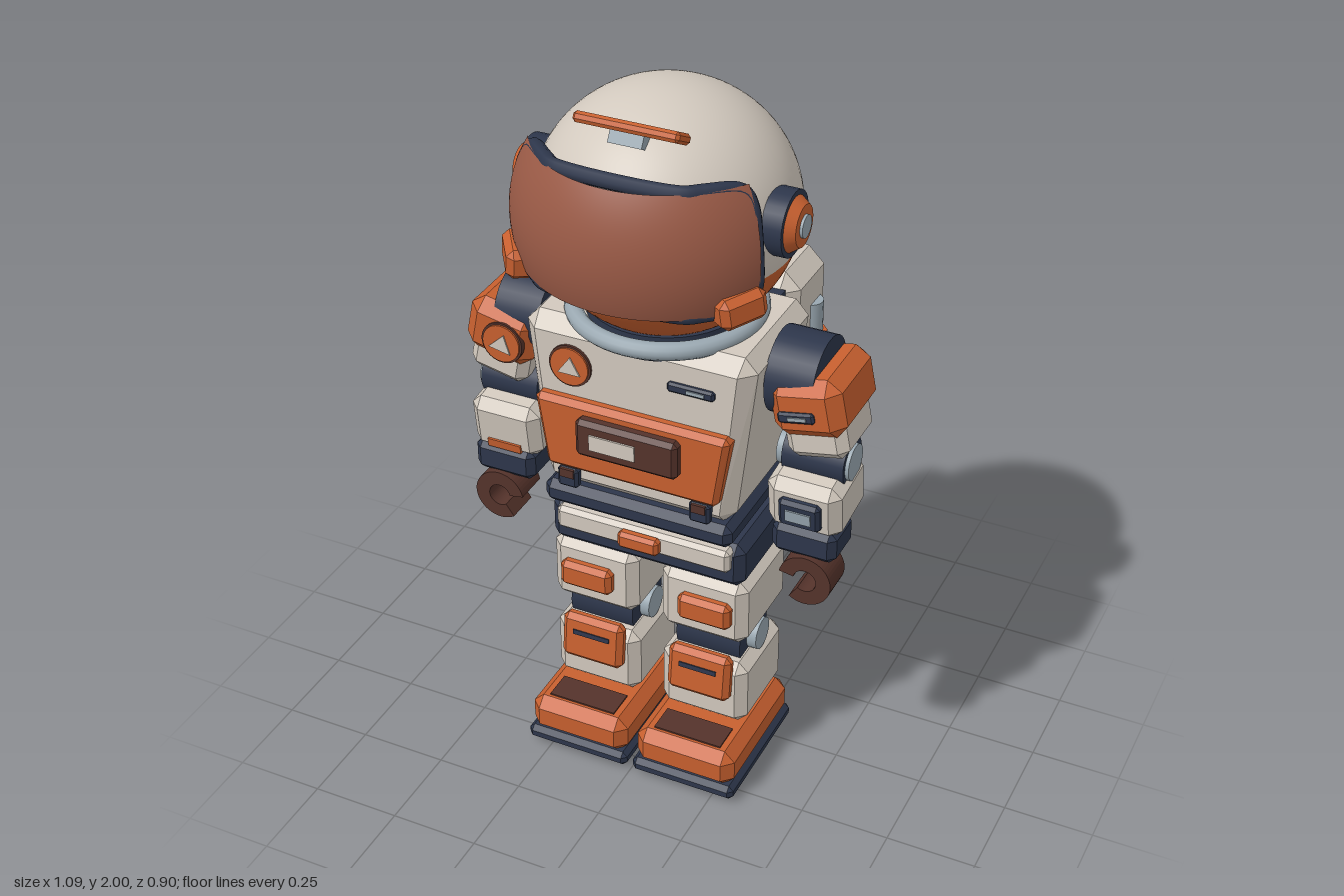
import * as THREE from 'three';
import { ConvexGeometry } from 'three/addons/geometries/ConvexGeometry.js';

const paint = (name, color, extra = {}) => {
  const m = new THREE.MeshStandardMaterial({ color, ...extra });
  m.name = name;
  return m;
};

// Box with bevelled edges; taper scales x at the bottom relative to the top
function bevelBox(w, h, d, c = 0.02, taper = 1) {
  const pts = [];
  for (const x of [-1, 1]) for (const y of [-1, 1]) for (const z of [-1, 1]) {
    for (let k = 0; k < 3; k++) {
      const p = new THREE.Vector3(
        x * (w / 2 - (k === 0 ? 0 : c)), y * (h / 2 - (k === 1 ? 0 : c)), z * (d / 2 - (k === 2 ? 0 : c)));
      p.x *= THREE.MathUtils.lerp(taper, 1, p.y / h + 0.5);
      pts.push(p);
    }
  }
  return new ConvexGeometry(pts);
}

// Short cylinders lying along x or z
const discX = (r, len, n = 28) => new THREE.CylinderGeometry(r, r, len, n).rotateZ(Math.PI / 2);
const discZ = (r, len, n = 28) => new THREE.CylinderGeometry(r, r, len, n).rotateX(Math.PI / 2);

function hookGeometry() {
  const a0 = (235 * Math.PI) / 180, a1 = (530 * Math.PI) / 180;
  const s = new THREE.Shape();
  s.absarc(0, 0, 0.073, a0, a1, false);
  s.absarc(0, 0, 0.032, a1, a0, true);
  return new THREE.ExtrudeGeometry(s, { depth: 0.1, bevelEnabled: false, curveSegments: 20 }).translate(0, 0, -0.05);
}

export function createModel() {
  const white = paint('suit white', 0xd2c9be);
  const orange = paint('orange', 0xc8602f);
  const navy = paint('navy', 0x2d364b);
  const brown = paint('dark brown', 0x55332b);
  const grey = paint('metal grey', 0x9aa8b1);
  const glass = paint('visor brown', 0x9a5a46, { side: THREE.DoubleSide });
  const root = new THREE.Group();

  const add = (parent, name, geo, mat, x = 0, y = 0, z = 0, rx = 0, ry = 0, rz = 0) => {
    const m = new THREE.Mesh(geo, mat);
    m.name = name;
    m.position.set(x, y, z);
    m.rotation.set(rx, ry, rz);
    parent.add(m);
    return m;
  };
  const group = (name, parent = root) => {
    const g = new THREE.Group();
    g.name = name;
    parent.add(g);
    return g;
  };
  // Round badge with a small triangle
  const badge = (parent, x, y, z, rz) => {
    add(parent, 'badgeRim', discZ(0.06, 0.016), brown, x, y, z - 0.003);
    add(parent, 'badge', discZ(0.054, 0.02), orange, x, y, z);
    const t = new THREE.Shape([[-0.032, -0.02], [0.032, -0.02], [0.004, 0.03]].map(p => new THREE.Vector2(...p)));
    add(parent, 'badgeTriangle', new THREE.ExtrudeGeometry(t, { depth: 0.004, bevelEnabled: false }), white, x, y, z + 0.01, 0, 0, rz);
  };

  // Helmet: white dome, orange lower bowl
  const head = group('head');
  const split = 1.835;
  for (const [name, from, len, mat] of [['helmetDome', 0, split, white], ['helmetBowl', split, Math.PI - split, orange]]) {
    add(head, name, new THREE.SphereGeometry(1, 64, 40, 0, Math.PI * 2, from, len), mat, 0, 1.675, 0.055).scale.set(0.34, 0.325, 0.345);
  }
  // Visor shell and its rim
  const half = 1.05, top = 1.04, bottom = 1.88;
  add(head, 'visor', new THREE.SphereGeometry(0.393, 40, 24, Math.PI / 2 - half, half * 2, top, bottom - top), glass, 0, 1.675, 0.055);
  const rim = [];
  const pw = v => Math.sign(v) * Math.abs(v) ** 0.22;
  for (let i = 0; i < 64; i++) {
    const t = ((i + 0.5) / 64) * Math.PI * 2;
    const phi = pw(Math.cos(t)) * (half + 0.01);
    const th = (top + bottom) / 2 + pw(Math.sin(t)) * ((bottom - top) / 2 + 0.01);
    rim.push(new THREE.Vector3(Math.sin(phi) * Math.sin(th), Math.cos(th), Math.cos(phi) * Math.sin(th)).multiplyScalar(0.373));
  }
  add(head, 'visorRim', new THREE.TubeGeometry(new THREE.CatmullRomCurve3(rim, true), 160, 0.021, 8, true), navy, 0, 1.675, 0.055);
  add(head, 'browPlate', bevelBox(0.28, 0.028, 0.08, 0.008), orange, 0, 1.967, 0.248, -0.5);
  add(head, 'browMount', new THREE.BoxGeometry(0.09, 0.04, 0.04), grey, 0, 1.945, 0.26, -0.5);
  for (const s of [-1, 1]) {
    add(head, 'earPad', discX(0.086, 0.07), navy, s * 0.325, 1.72, 0.095);
    add(head, 'earCap', new THREE.CylinderGeometry(0.055, 0.076, 0.03, 28).rotateZ(-s * Math.PI / 2), orange, s * 0.37, 1.72, 0.095);
    add(head, 'earButton', discX(0.03, 0.02), grey, s * 0.382, 1.72, 0.095);
    add(head, 'cheekBlock', bevelBox(0.075, 0.085, 0.13, 0.018), orange, s * 0.3, 1.575, 0.282, 0.15, -s * 0.6, s * 0.12);
  }
  add(head, 'neck', new THREE.CylinderGeometry(0.21, 0.21, 0.07, 40), navy, 0, 1.375, 0.055);
  add(head, 'neckRing', new THREE.TorusGeometry(0.241, 0.024, 12, 56).rotateX(Math.PI / 2), grey, 0, 1.39, 0.055);

  // Torso
  const body = group('torso');
  add(body, 'chest', bevelBox(0.655, 0.51, 0.4, 0.04, 0.82), white, 0, 1.13, 0.05);
  add(body, 'waistBand', bevelBox(0.545, 0.07, 0.41, 0.02), navy, 0, 0.847, 0.052);
  add(body, 'waist', new THREE.BoxGeometry(0.4, 0.1, 0.26), navy, 0, 0.8, 0.04);
  add(body, 'chestPanel', bevelBox(0.555, 0.215, 0.06, 0.015, 0.88), orange, 0, 1.063, 0.252);
  add(body, 'screenFrame', bevelBox(0.29, 0.11, 0.05, 0.012), brown, 0, 1.085, 0.287);
  add(body, 'screen', new THREE.BoxGeometry(0.13, 0.045, 0.008), white, -0.035, 1.085, 0.313);
  badge(body, -0.18, 1.262, 0.252, 0);
  add(body, 'slot', bevelBox(0.13, 0.028, 0.02, 0.006), navy, 0.16, 1.277, 0.252);
  add(body, 'slotLight', new THREE.BoxGeometry(0.05, 0.01, 0.006), grey, 0.175, 1.277, 0.262);
  for (const s of [-1, 1]) {
    add(body, 'clip', bevelBox(0.06, 0.06, 0.03, 0.008), navy, s * 0.19, 0.92, 0.257);
    add(body, 'clipFace', new THREE.BoxGeometry(0.04, 0.025, 0.008), brown, s * 0.19, 0.937, 0.272);
  }

  // Hips and belt
  const hips = group('hips');
  add(hips, 'pelvis', bevelBox(0.57, 0.135, 0.33, 0.025), navy, 0, 0.715, 0.035);
  add(hips, 'belt', bevelBox(0.51, 0.07, 0.05, 0.012), white, 0, 0.743, 0.198);
  add(hips, 'buckle', bevelBox(0.12, 0.05, 0.035, 0.01), orange, 0, 0.745, 0.233);

  // Backpack
  const pack = group('backpack');
  add(pack, 'packMount', new THREE.BoxGeometry(0.44, 0.435, 0.06), navy, 0, 1.128, -0.17);
  add(pack, 'packBody', bevelBox(0.5, 0.505, 0.25, 0.045), white, 0, 1.128, -0.313);
  add(pack, 'packPanel', new THREE.BoxGeometry(0.35, 0.25, 0.009), brown, 0, 1.1, -0.44);
  for (let i = 0; i < 4; i++) add(pack, 'vent', new THREE.BoxGeometry(0.195, 0.012, 0.012), navy, 0, 1.055 + i * 0.022, -0.446);
  const grip = new THREE.CatmullRomCurve3([[-0.085, 1.36], [-0.08, 1.405], [-0.05, 1.418], [0.05, 1.418], [0.08, 1.405], [0.085, 1.36]]
    .map(([x, y]) => new THREE.Vector3(x, y, -0.375)));
  add(pack, 'handle', new THREE.TubeGeometry(grip, 40, 0.013, 8), grey);
  for (const s of [-1, 1]) {
    add(pack, 'packClip', bevelBox(0.038, 0.055, 0.03, 0.006), navy, s * 0.185, 0.988, -0.44);
    add(pack, 'canister', new THREE.CylinderGeometry(0.042, 0.042, 0.2, 8).rotateY(Math.PI / 8), orange, s * 0.243, 1.057, -0.34);
    add(pack, 'canisterTop', new THREE.CylinderGeometry(0.036, 0.036, 0.1, 16), grey, s * 0.236, 1.2, -0.34);
  }

  // Arms
  for (const s of [-1, 1]) {
    const arm = group(s > 0 ? 'leftArm' : 'rightArm');
    add(arm, 'shoulderJoint', discX(0.115, 0.13, 32), navy, s * 0.385, 1.28, 0.055);
    const upper = group('upperArm', arm);
    upper.position.set(s * 0.435, 1.245, 0.055);
    upper.rotation.z = s * 0.2;
    add(upper, 'shoulderPad', bevelBox(0.2, 0.165, 0.26, 0.035), orange);
    add(upper, 'sleeve', bevelBox(0.17, 0.13, 0.2, 0.025), white, 0, -0.09, 0);
    if (s < 0) badge(upper, 0.02, -0.01, 0.13, 0);
    else {
      add(upper, 'armSlot', bevelBox(0.1, 0.03, 0.02, 0.006), navy, -0.02, -0.01, 0.13);
      add(upper, 'armSlotLight', new THREE.BoxGeometry(0.05, 0.01, 0.006), grey, -0.015, -0.01, 0.141);
    }
    add(arm, 'elbow', discX(0.065, 0.17), navy, s * 0.44, 1.055, 0.06);
    add(arm, 'elbowCap', discX(0.05, 0.2), grey, s * 0.435, 1.055, 0.062);
    const fore = group('forearm', arm);
    fore.position.set(s * 0.435, 0.952, 0.075);
    fore.rotation.x = 0.13;
    add(fore, 'forearmSleeve', bevelBox(0.205, 0.165, 0.2, 0.028), white);
    if (s > 0) {
      add(fore, 'wristDisplay', bevelBox(0.115, 0.085, 0.03, 0.01), navy, 0, 0, 0.107);
      add(fore, 'wristScreen', new THREE.BoxGeometry(0.07, 0.035, 0.006), grey, 0, 0, 0.123);
    } else add(fore, 'wristTag', new THREE.BoxGeometry(0.1, 0.025, 0.02), orange, 0, -0.048, 0.096);
    add(arm, 'cuff', bevelBox(0.18, 0.095, 0.14, 0.02), navy, s * 0.44, 0.838, 0.105);
    add(arm, 'hand', hookGeometry(), brown, s * 0.453, 0.728, 0.13, 0, s > 0 ? 0 : Math.PI, 0);
  }

  // Legs and boots
  for (const s of [-1, 1]) {
    const leg = group(s > 0 ? 'leftLeg' : 'rightLeg');
    const x = s * 0.163;
    add(leg, 'thigh', bevelBox(0.255, 0.205, 0.29, 0.028), white, x, 0.548, 0.045);
    add(leg, 'thighPlate', bevelBox(0.155, 0.08, 0.045, 0.014), orange, s * 0.177, 0.55, 0.196);
    add(leg, 'knee', discX(0.093, 0.19), navy, x, 0.405, 0.052);
    add(leg, 'kneeCap', discX(0.046, 0.245), grey, x, 0.405, 0.052);
    add(leg, 'shin', bevelBox(0.255, 0.205, 0.27, 0.028), white, x, 0.268, 0.05);
    const pad = group('kneePad', leg);
    pad.position.set(x, 0.332, 0.192);
    pad.rotation.x = -0.12;
    add(pad, 'kneePlate', bevelBox(0.185, 0.14, 0.045, 0.015), orange);
    add(pad, 'kneeSlot', new THREE.BoxGeometry(0.11, 0.014, 0.008), navy, 0, 0.02, 0.022);
    add(leg, 'ankle', new THREE.BoxGeometry(0.18, 0.06, 0.18), navy, x, 0.16, 0.05);
    add(leg, 'boot', bevelBox(0.295, 0.115, 0.41, 0.03), orange, x, 0.1, 0.11);
    add(leg, 'toePlate', new THREE.BoxGeometry(0.2, 0.008, 0.085), brown, x, 0.158, 0.235);
    add(leg, 'sole', bevelBox(0.308, 0.045, 0.417, 0.014), navy, x, 0.033, 0.11);
    for (let i = 0; i < 6; i++) for (const k of [-1, 1]) {
      add(leg, 'tread', new THREE.BoxGeometry(0.115, 0.014, 0.04), navy, x + k * 0.067, 0.007, -0.05 + i * 0.064);
    }
  }
  return root;
}
